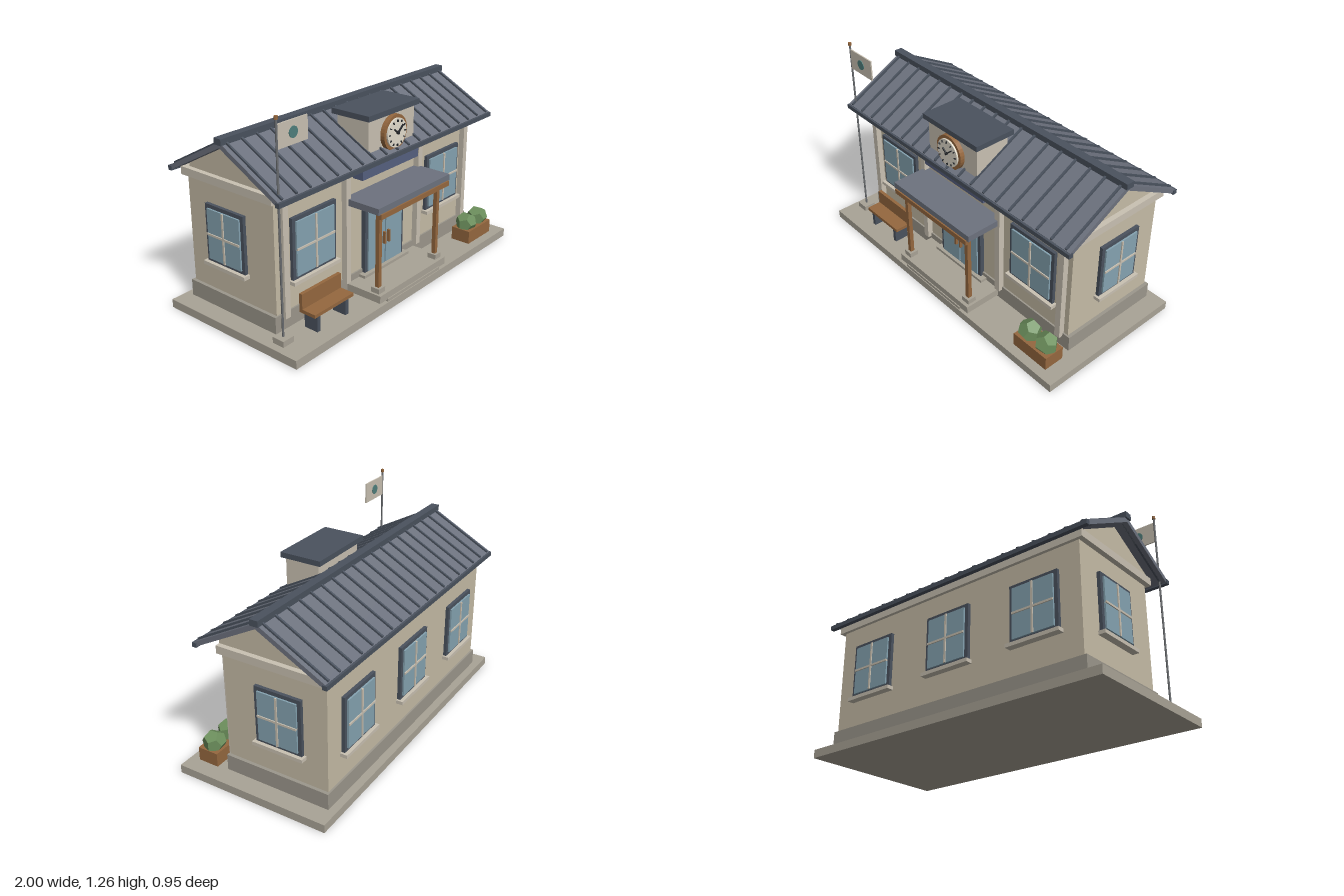
import * as THREE from 'three';

const mat = (color) => new THREE.MeshStandardMaterial({ color, flatShading: true });
const M = {
  wall: mat(0xc6bca6), trim: mat(0xc9c1b2), stone: mat(0xa9a396), plinth: mat(0x9c978c),
  roof: mat(0x6d727e), dark: mat(0x4a525e), wood: mat(0x95683f), glass: mat(0x85a3b1),
  face: mat(0xe2dccd), leaf: mat(0x6c8f5c), teal: mat(0x4f7f7c), black: mat(0x25282c),
  sign: mat(0x566080), metal: mat(0x6a6d70),
};

function add(parent, name, geometry, material, x = 0, y = 0, z = 0) {
  const mesh = new THREE.Mesh(geometry, material);
  mesh.name = name;
  mesh.position.set(x, y, z);
  parent.add(mesh);
  return mesh;
}

// Box given by its extents on each axis
function box(parent, name, material, [x0, x1], [y0, y1], [z0, z1]) {
  return add(parent, name, new THREE.BoxGeometry(x1 - x0, y1 - y0, z1 - z0), material,
    (x0 + x1) / 2, (y0 + y1) / 2, (z0 + z1) / 2);
}

function group(parent, name, x = 0, y = 0, z = 0, turn = 0) {
  const g = new THREE.Group();
  g.name = name;
  g.position.set(x, y, z);
  g.rotation.y = turn;
  parent.add(g);
  return g;
}

// Extrudes a (z, y) outline along x, centred on x = 0
function extrudeX(points, width) {
  const shape = new THREE.Shape(points.map(([z, y]) => new THREE.Vector2(z, y)));
  const geo = new THREE.ExtrudeGeometry(shape, { depth: width, bevelEnabled: false });
  return geo.translate(0, 0, -width / 2).rotateY(-Math.PI / 2);
}

// Framed four-pane window facing local +z, with its middle at the origin
function addWindow(parent, x, y, z, turn, w, h) {
  const g = group(parent, 'window', x, y, z, turn);
  const a = w / 2, b = h / 2, t = 0.022;
  box(g, 'windowFrame', M.dark, [-a, a], [-b, b], [-0.01, 0.02]);
  box(g, 'windowGlass', M.glass, [-a + t, a - t], [-b + t, b - t], [0, 0.03]);
  box(g, 'uprightBar', M.trim, [-0.006, 0.006], [-b + t, b - t], [0, 0.036]);
  box(g, 'crossBar', M.trim, [-a + t, a - t], [-0.006, 0.006], [0, 0.036]);
  box(g, 'windowSill', M.trim, [-a - 0.014, a + 0.014], [-b - 0.018, -b + 0.003], [-0.01, 0.042]);
}

export function createModel() {
  const model = new THREE.Group();
  model.name = 'townBuilding';

  // Ground slab, plinth, walls and cornice
  box(model, 'groundSlab', M.stone, [-1, 1], [0, 0.05], [-0.475, 0.475]);
  box(model, 'plinth', M.plinth, [-0.89, 0.89], [0.05, 0.147], [-0.428, 0.228]);
  box(model, 'walls', M.wall, [-0.87, 0.87], [0.147, 0.8], [-0.417, 0.218]);
  box(model, 'cornice', M.trim, [-0.9, 0.9], [0.782, 0.828], [-0.437, 0.238]);
  for (const x of [-0.82, -0.33, 0.33, 0.82])
    box(model, 'pilaster', M.trim, [x - 0.019, x + 0.019], [0.125, 0.805], [0.2, 0.253]);
  add(model, 'gables', extrudeX([[0.238, 0.82], [0.238, 0.866], [-0.063, 1.03],
    [-0.4, 0.848], [-0.4, 0.82]], 1.74), M.wall);

  // Pitched roof with raised seams, ridge cap and eave trims
  const slope = (lift) => [[0.335, 0.843 + lift], [-0.063, 1.058 + lift], [-0.461, 0.843 + lift],
    [-0.45, 0.82], [-0.063, 1.027], [0.324, 0.82]];
  add(model, 'roof', extrudeX(slope(0), 1.9), M.roof);
  const seam = extrudeX(slope(0.012), 0.012);
  for (let i = 0; i < 19; i++) add(model, 'roofSeam', seam, M.dark, -0.918 + i * 0.102);
  box(model, 'ridgeCap', M.dark, [-0.96, 0.96], [1.045, 1.08], [-0.088, -0.038]);
  box(model, 'frontEave', M.dark, [-0.955, 0.955], [0.815, 0.841], [0.32, 0.346]);
  box(model, 'backEave', M.dark, [-0.955, 0.955], [0.815, 0.841], [-0.472, -0.446]);

  // Clock tower
  const tower = group(model, 'clockTower');
  box(tower, 'towerBody', M.trim, [-0.205, 0.205], [0.83, 1.056], [0.067, 0.285]);
  box(tower, 'towerRoof', M.dark, [-0.228, 0.228], [1.056, 1.088], [0.043, 0.306]);
  const clock = group(tower, 'clock', 0, 0.945, 0.285);
  const disc = (r, d, n) => new THREE.CylinderGeometry(r, r, d, n).rotateX(Math.PI / 2);
  add(clock, 'clockRim', disc(0.103, 0.028, 32), M.wood, 0, 0, 0.014);
  add(clock, 'clockFace', disc(0.084, 0.024, 32), M.face, 0, 0, 0.026);
  for (let i = 0; i < 12; i++) {
    const a = (i * Math.PI) / 6;
    const tick = add(clock, 'hourMark', new THREE.BoxGeometry(0.005, 0.013, 0.008), M.black,
      Math.sin(a) * 0.07, Math.cos(a) * 0.07, 0.041);
    tick.rotation.z = -a;
  }
  for (const [name, length, angle] of [['hourHand', 0.04, 0.87], ['minuteHand', 0.06, -0.87]]) {
    const geo = new THREE.BoxGeometry(0.008, length, 0.008).translate(0, length / 2, 0);
    add(clock, name, geo, M.black, 0, 0, 0.044).rotation.z = angle;
  }
  add(clock, 'clockHub', disc(0.008, 0.012, 12), M.black, 0, 0, 0.045);

  // Plain sign board
  box(model, 'signBoard', M.sign, [-0.255, 0.255], [0.728, 0.782], [0.21, 0.288]);

  // Windows on all sides
  for (const s of [-1, 1]) {
    addWindow(model, s * 0.59, 0.487, 0.218, 0, 0.338, 0.355);
    addWindow(model, s * 0.87, 0.488, -0.128, s * Math.PI / 2, 0.288, 0.338);
  }
  for (const x of [-0.59, 0, 0.59]) addWindow(model, x, 0.485, -0.417, Math.PI, 0.305, 0.335);

  // Double door
  const door = group(model, 'door');
  box(door, 'doorFrame', M.dark, [-0.178, 0.178], [0.108, 0.515], [0.2, 0.245]);
  for (const s of [-1, 1]) {
    add(door, 'doorGlass', new THREE.BoxGeometry(0.15, 0.365, 0.02), M.glass, s * 0.08, 0.312, 0.243);
    add(door, 'doorHandle', new THREE.BoxGeometry(0.012, 0.075, 0.018), M.wood, s * 0.02, 0.297, 0.262);
  }

  // Porch: steps, posts, beam and canopy
  const porch = group(model, 'porch');
  box(porch, 'lowerStep', M.stone, [-0.25, 0.25], [0.05, 0.068], [0.22, 0.47]);
  box(porch, 'landing', M.stone, [-0.315, 0.315], [0.062, 0.107], [0.22, 0.464]);
  box(porch, 'doorSill', M.stone, [-0.21, 0.21], [0.107, 0.124], [0.22, 0.27]);
  box(porch, 'canopy', M.roof, [-0.333, 0.333], [0.598, 0.636], [0.21, 0.46]);
  box(porch, 'canopyBeam', M.wood, [-0.318, 0.318], [0.57, 0.6], [0.448, 0.468]);
  for (const s of [-1, 1]) {
    add(porch, 'postBase', new THREE.BoxGeometry(0.056, 0.03, 0.056), M.stone, s * 0.272, 0.122, 0.415);
    add(porch, 'post', new THREE.BoxGeometry(0.025, 0.465, 0.025), M.wood, s * 0.272, 0.368, 0.415);
  }

  // Bench
  const bench = group(model, 'bench');
  box(bench, 'benchSeat', M.wood, [-0.765, -0.457], [0.148, 0.168], [0.28, 0.39]);
  box(bench, 'benchBack', M.wood, [-0.765, -0.457], [0.16, 0.257], [0.28, 0.301]);
  for (const x of [-0.725, -0.5])
    box(bench, 'benchLeg', M.dark, [x - 0.012, x + 0.012], [0.05, 0.148], [0.29, 0.38]);

  // Planter with faceted shrubs
  const planter = group(model, 'planter');
  box(planter, 'planterBox', M.wood, [0.655, 0.905], [0.05, 0.133], [0.29, 0.418]);
  for (const x of [0.716, 0.843]) {
    const shrub = add(planter, 'shrub', new THREE.DodecahedronGeometry(0.068), M.leaf, x, 0.162, 0.354);
    shrub.rotation.y = x * 2;
  }

  // Flagpole and flag
  const flag = group(model, 'flagpole', -0.917, 0, 0.307);
  add(flag, 'poleBase', new THREE.BoxGeometry(0.076, 0.034, 0.076), M.stone, 0, 0.067, 0);
  add(flag, 'pole', new THREE.CylinderGeometry(0.006, 0.006, 1.18, 8), M.metal, 0, 0.66, 0);
  add(flag, 'finial', new THREE.CylinderGeometry(0.01, 0.01, 0.018, 8), M.wood, 0, 1.253, 0);
  add(flag, 'flagCloth', new THREE.BoxGeometry(0.207, 0.126, 0.008), M.trim, 0.108, 1.157, 0);
  add(flag, 'flagDisc', disc(0.03, 0.016, 20), M.teal, 0.108, 1.157, 0);

  return model;
}
